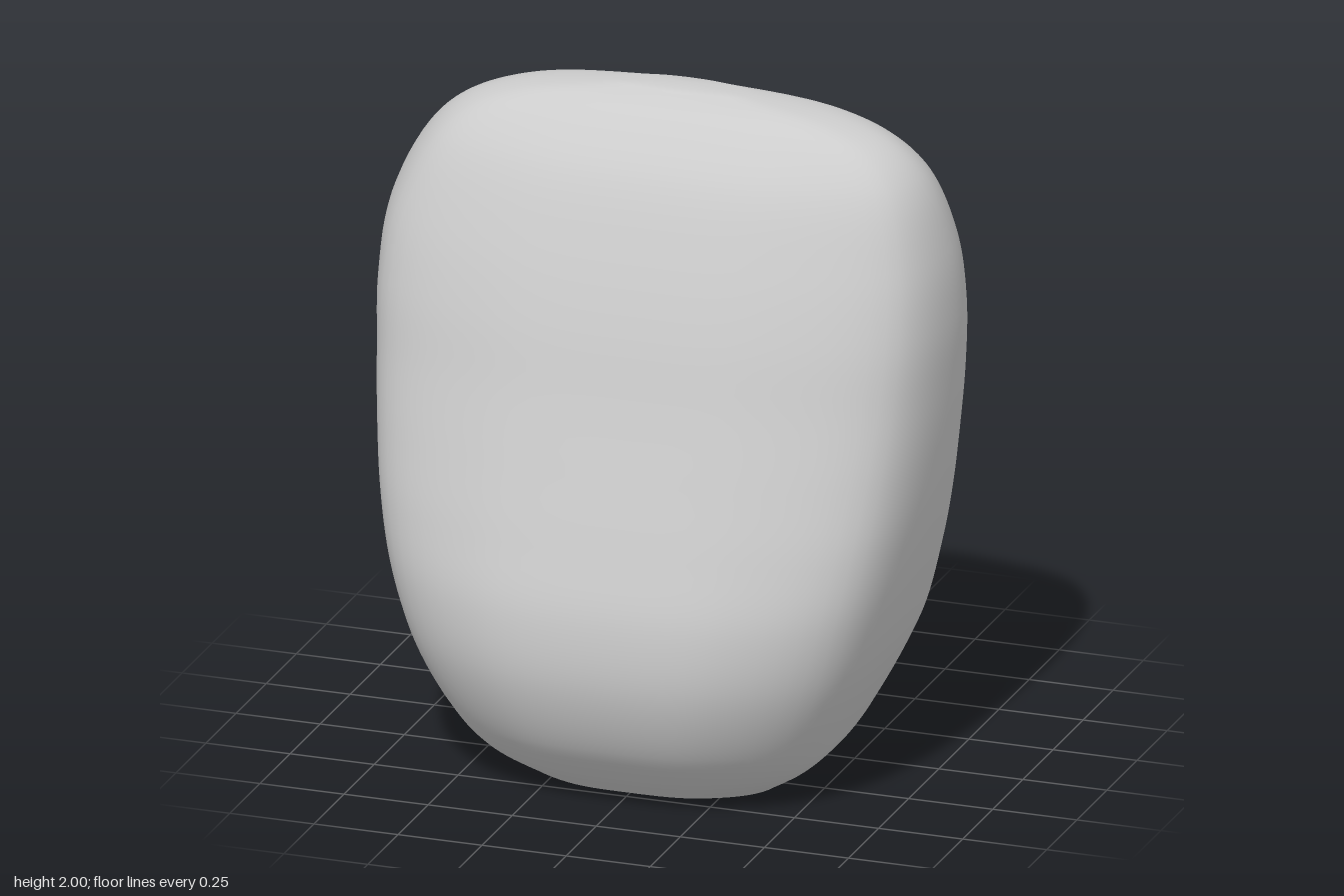
import * as THREE from 'three';

// One row per height: y, half width, front z, widest z, rim x, rim z, hollow z
const LEVELS = [
  [0.0, 0.38, 0.47, 0.14, 0.28, -0.2, -0.25],
  [0.08, 0.49, 0.58, 0.16, 0.29, -0.36, -0.42],
  [0.2, 0.57, 0.69, 0.18, 0.27, -0.51, -0.6],
  [0.4, 0.67, 0.77, 0.2, 0.24, -0.69, -0.78],
  [0.6, 0.735, 0.775, 0.22, 0.3, -0.63, -0.62],
  [0.8, 0.78, 0.725, 0.22, 0.45, -0.48, -0.35],
  [1.0, 0.81, 0.665, 0.18, 0.54, -0.36, -0.1],
  [1.2, 0.83, 0.605, 0.14, 0.6, -0.28, 0.03],
  [1.4, 0.84, 0.55, 0.12, 0.62, -0.22, 0.07],
  [1.6, 0.82, 0.48, 0.11, 0.6, -0.16, 0.06],
  [1.8, 0.74, 0.39, 0.12, 0.53, -0.07, 0.02],
  [1.9, 0.64, 0.31, 0.13, 0.46, -0.01, 0.0],
  [1.96, 0.48, 0.24, 0.12, 0.34, 0.02, 0.02],
  [2.0, 0.16, 0.15, 0.11, 0.1, 0.07, 0.06],
];
const ROWS = 78, COLS = 96;
const mix = THREE.MathUtils.lerp;

// Control points of one horizontal outline, counterclockwise from the front
function outline([y, w, front, mid, rimX, rimZ, hollow]) {
  const half = [
    [w * 0.5, mix(mid, front, 0.94)],
    [w * 0.905, mix(mid, front, 0.62)],
    [w, mid],
    [mix(w, rimX, 0.22), mix(mid, rimZ, 0.64)],
    [rimX, rimZ],
    [rimX * 0.66, mix(rimZ, hollow, 0.64)],
  ];
  const mirrored = half.map(([x, z]) => [-x, z]).reverse();
  const skew = 0.03 * THREE.MathUtils.smoothstep(y, 1.5, 1.95);
  return [[0, front], ...half, [0, hollow], ...mirrored]
    .map(([x, z]) => new THREE.Vector3(x + skew, y, z));
}

// Skin lofted through the outlines
function skinGeometry() {
  const sections = LEVELS.map(outline);
  const ribs = sections[0].map((_, k) => new THREE.CatmullRomCurve3(sections.map((s) => s[k])));
  const pos = [], index = [];
  for (let i = 0; i <= ROWS; i++) {
    const ring = new THREE.CatmullRomCurve3(ribs.map((r) => r.getPoint(i / ROWS)), true);
    for (let j = 0; j < COLS; j++) {
      const p = ring.getPoint(j / COLS);
      pos.push(p.x, p.y, p.z);
    }
  }
  for (let i = 0; i < ROWS; i++) {
    for (let j = 0; j < COLS; j++) {
      const a = i * COLS + j, b = i * COLS + (j + 1) % COLS;
      index.push(a, b, b + COLS, a, b + COLS, a + COLS);
    }
  }
  // Close the crown
  const top = pos.length / 3;
  pos.push(0.03, 2.0, 0.1);
  for (let j = 0; j < COLS; j++) index.push(top, ROWS * COLS + j, ROWS * COLS + (j + 1) % COLS);
  const geo = new THREE.BufferGeometry();
  geo.setAttribute('position', new THREE.Float32BufferAttribute(pos, 3));
  geo.setIndex(index);
  geo.computeVertexNormals();
  return geo;
}

// Flat underside, facing down
function baseGeometry() {
  const ring = new THREE.CatmullRomCurve3(outline(LEVELS[0]), true);
  const pts = Array.from({ length: COLS }, (_, j) => ring.getPoint(j / COLS));
  const shape = new THREE.Shape(pts.map((p) => new THREE.Vector2(p.x, p.z)));
  return new THREE.ShapeGeometry(shape).rotateX(Math.PI / 2);
}

export function createModel() {
  const group = new THREE.Group();
  group.name = 'beanbagChair';
  const material = new THREE.MeshStandardMaterial({ color: 0xcccccc });
  const skin = new THREE.Mesh(skinGeometry(), material);
  skin.name = 'cushionBody';
  const base = new THREE.Mesh(baseGeometry(), material);
  base.name = 'flatBase';
  group.add(skin, base);
  return group;
}
